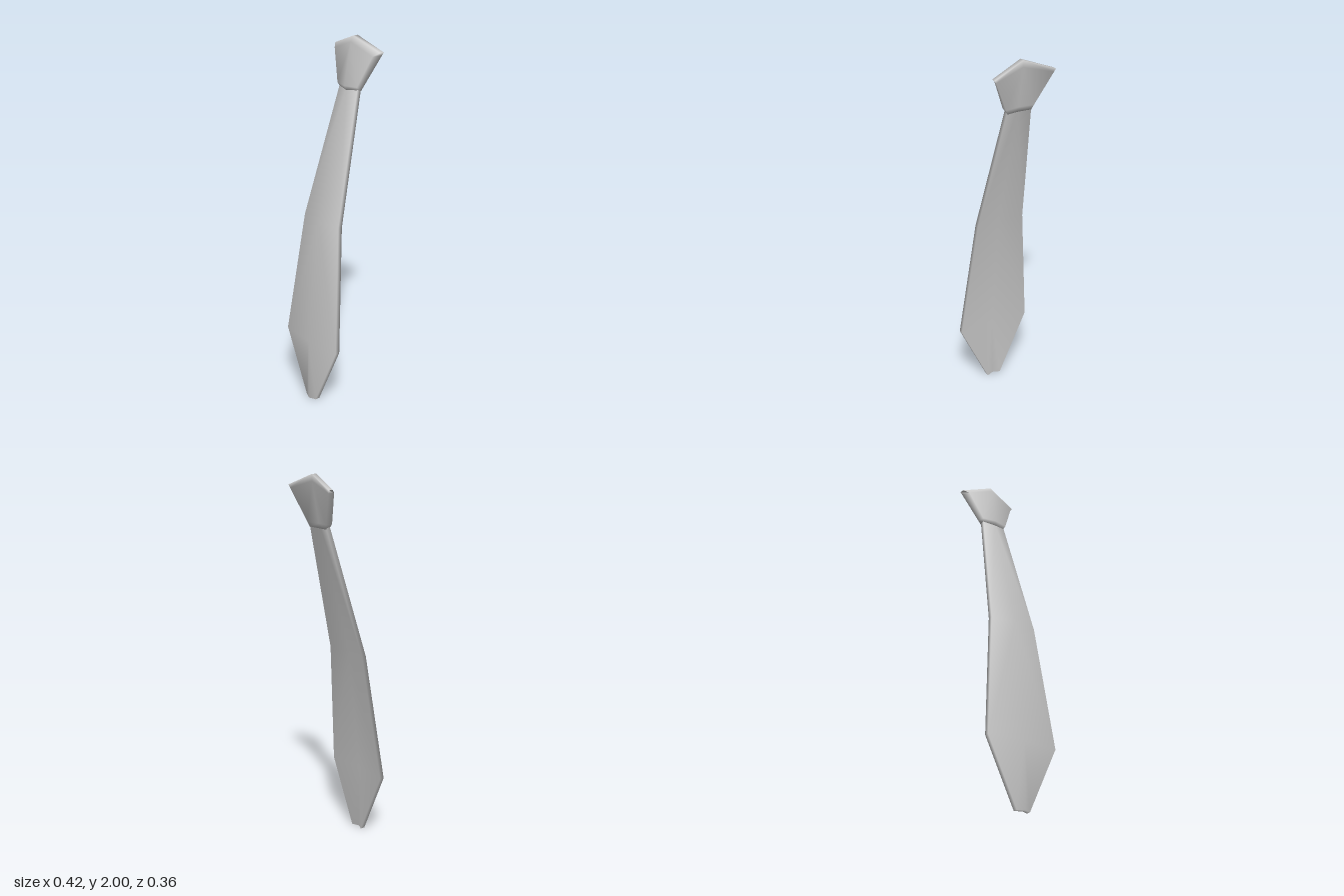
import * as THREE from 'three';

const material = new THREE.MeshStandardMaterial({ color: 0xcccccc });

// Each section has a front and a back line: [half width, edge y, centre y, edge z, centre z]
function loft(name, sections) {
  const pos = [], index = [];
  for (const [f, b] of sections) {
    pos.push(-f[0], f[1], f[3], 0, f[2], f[4], f[0], f[1], f[3]);
    pos.push(b[0], b[1], b[3], 0, b[2], b[4], -b[0], b[1], b[3]);
  }
  const quad = (a, b, c, d) => index.push(a, b, c, a, c, d);
  for (let i = 0; i < sections.length - 1; i++) {
    for (let j = 0; j < 6; j++) {
      const k = (j + 1) % 6, o = i * 6;
      // Mirror the diagonal so both halves match
      const a = o + j, b = o + k, c = o + 6 + k, d = o + 6 + j;
      if (j === 0 || j === 3) quad(a, b, c, d);
      else quad(b, c, d, a);
    }
  }
  // End caps, split along the centre fold
  const t = (sections.length - 1) * 6;
  quad(5, 4, 1, 0);
  quad(4, 3, 2, 1);
  quad(t, t + 1, t + 4, t + 5);
  quad(t + 1, t + 2, t + 3, t + 4);

  const geo = new THREE.BufferGeometry();
  geo.setAttribute('position', new THREE.Float32BufferAttribute(pos, 3));
  geo.setIndex(index);
  geo.computeVertexNormals();
  const mesh = new THREE.Mesh(geo, material);
  mesh.name = name;
  return mesh;
}

export function createModel() {
  const group = new THREE.Group();
  group.name = 'necktie';

  // Long blade: [y, half width, front centre z, front edge z, back centre z, back edge z]
  const blade = [
    [0, 0.04, 0.18, 0.163, 0.155, 0.138],
    [0.355, 0.21, 0.18, 0.16, 0.155, 0.135],
    [1.04, 0.14, 0.105, 0.085, 0.08, 0.06],
    [1.74, 0.07, -0.087, -0.1, -0.112, -0.125],
  ].map(([y, w, fc, fe, bc, be]) => [[w, y, y, fe, fc], [w, y, y, be, bc]]);
  group.add(loft('blade', blade));

  // Flared knot with a rounded upper lip
  group.add(loft('knot', [
    [[0.066, 1.727, 1.722, -0.1, -0.084], [0.07, 1.725, 1.722, -0.125, -0.112]],
    [[0.077, 1.75, 1.748, -0.09, -0.072], [0.082, 1.75, 1.748, -0.132, -0.117]],
    [[0.148, 1.915, 1.97, -0.13, -0.112], [0.166, 1.918, 1.965, -0.178, -0.158]],
    [[0.175, 1.935, 2, -0.157, -0.13], [0.175, 1.935, 2, -0.183, -0.16]],
  ]));
  return group;
}
